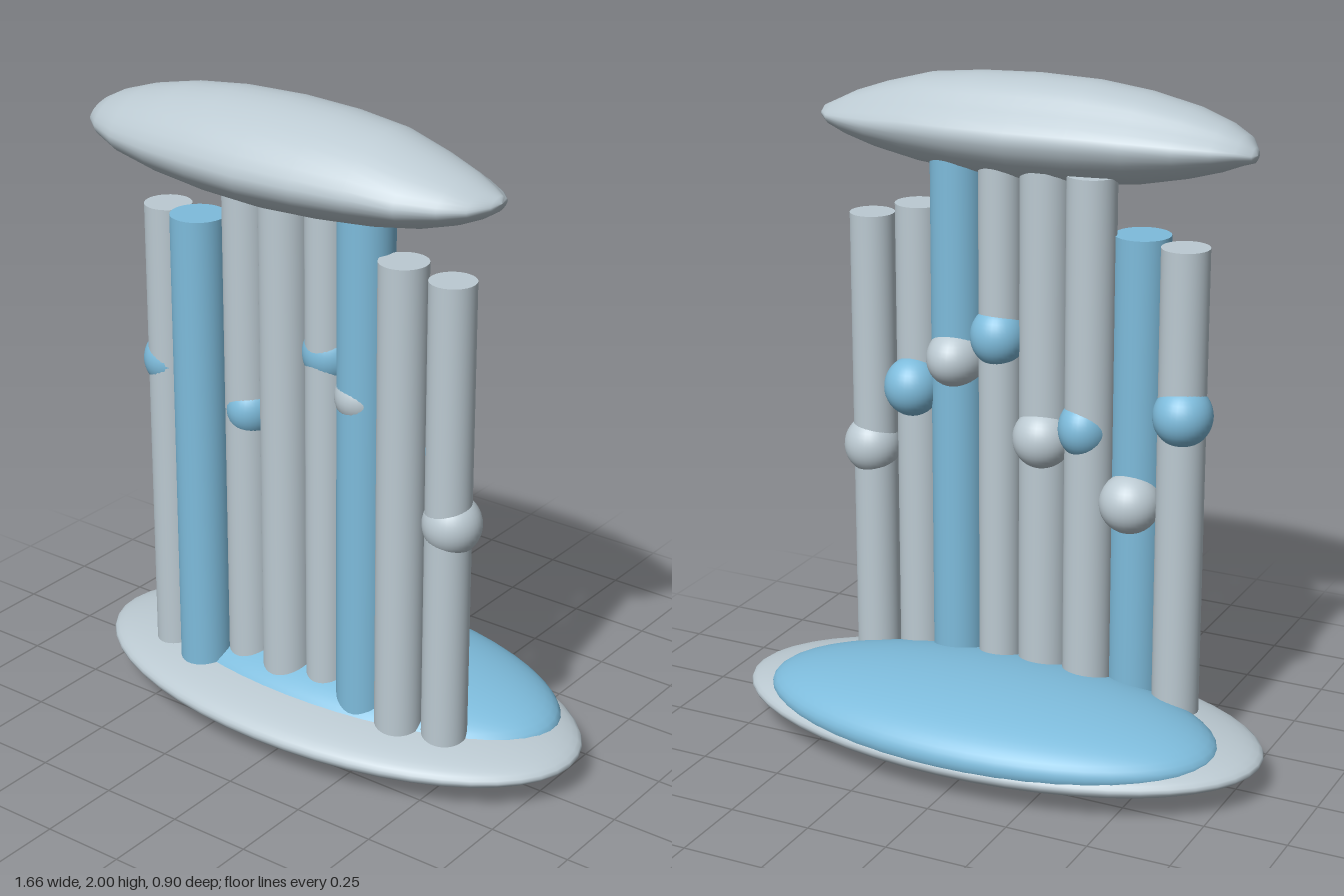
import * as THREE from 'three';

const grey = new THREE.MeshStandardMaterial({ color: 0xbccad2 });
grey.name = 'pale grey';
const blue = new THREE.MeshStandardMaterial({ color: 0x7ebcdc });
blue.name = 'sky blue';

function add(parent, name, geometry, material, x, y, z) {
  const mesh = new THREE.Mesh(geometry, material);
  mesh.name = name;
  mesh.position.set(x, y, z);
  parent.add(mesh);
  return mesh;
}

function ellipsoid(rx, ry, rz, w = 48, h = 32) {
  return new THREE.SphereGeometry(1, w, h).scale(rx, ry, rz);
}

// Pebble-like cap: one closed outline stretched along x
function capstoneGeometry() {
  // Outline in (z, y) from the front over the top to the back
  const outline = [[0.45, 1.84], [0.40, 1.92], [0.30, 1.98], [0.20, 2.0], [0.11, 1.98], [0.05, 1.93],
    [-0.02, 1.86], [-0.005, 1.80], [0.05, 1.745], [0.14, 1.703], [0.23, 1.69], [0.35, 1.73], [0.43, 1.785]];
  const curve = new THREE.CatmullRomCurve3(outline.map(([z, y]) => new THREE.Vector3(0, y, z)), true);
  const n = 40;
  const ring = curve.getPoints(n).slice(0, n)
    .map((p) => [(p.z + 0.025) / 0.475, (p.y - 1.69) / 0.31]);
  // x, bottom, top, back, front
  const stations = [
    [-0.682, 1.833, 1.833, 0.19, 0.19], [-0.675, 1.812, 1.855, 0.155, 0.225],
    [-0.64, 1.80, 1.885, 0.115, 0.29], [-0.58, 1.775, 1.915, 0.08, 0.34],
    [-0.48, 1.745, 1.948, 0.04, 0.39], [-0.34, 1.715, 1.978, 0.01, 0.42],
    [-0.18, 1.697, 1.996, -0.01, 0.44], [0, 1.69, 2.0, -0.025, 0.45],
    [0.18, 1.697, 1.992, -0.02, 0.44], [0.34, 1.712, 1.974, 0.0, 0.42],
    [0.48, 1.737, 1.935, 0.035, 0.39], [0.58, 1.765, 1.90, 0.075, 0.34],
    [0.64, 1.79, 1.87, 0.11, 0.29], [0.675, 1.812, 1.853, 0.15, 0.23],
    [0.684, 1.835, 1.835, 0.19, 0.19]];
  const pos = [];
  const index = [];
  stations.forEach(([x, y0, y1, z0, z1], i) => {
    ring.forEach(([u, v], j) => {
      pos.push(x, y0 + (y1 - y0) * v, z0 + (z1 - z0) * u);
      if (i === stations.length - 1) return;
      const a = i * n + j;
      const c = i * n + (j + 1) % n;
      index.push(a, a + n, c, c, a + n, c + n);
    });
  });
  const g = new THREE.BufferGeometry();
  g.setAttribute('position', new THREE.Float32BufferAttribute(pos, 3));
  g.setIndex(index);
  g.computeVertexNormals();
  return g;
}

export function createModel() {
  const model = new THREE.Group();
  model.name = 'columnSculpture';

  // Two overlapping lens-shaped discs form the base
  add(model, 'baseRim', ellipsoid(0.83, 0.088, 0.42), grey, 0, 0.1, -0.03);
  add(model, 'baseDome', ellipsoid(0.72, 0.13, 0.352), blue, 0, 0.13, -0.1);

  // Row of columns: x, z, radius, top, colour
  const columns = [
    [-0.505, 0.12, 0.07, 1.57, grey], [-0.357, 0.163, 0.082, 1.58, blue],
    [-0.223, 0.107, 0.073, 1.75, grey], [-0.073, 0.125, 0.077, 1.75, grey],
    [0.067, 0.115, 0.065, 1.75, grey], [0.213, 0.133, 0.082, 1.76, blue],
    [0.355, 0.157, 0.071, 1.595, grey], [0.492, 0.122, 0.067, 1.56, grey]];
  const foot = 0.1;
  const columnGroup = new THREE.Group();
  columnGroup.name = 'columns';
  columns.forEach(([x, z, r, top, material]) => {
    const g = new THREE.CylinderGeometry(r, r, top - foot, 32);
    add(columnGroup, 'column', g, material, x, (top + foot) / 2, z);
  });
  model.add(columnGroup);

  // One bead on each column: x, y, z, radius, depth radius, colour
  const beads = [
    [-0.515, 1.08, 0.102, 0.087, 0.092, blue], [-0.357, 0.79, 0.1, 0.091, 0.091, grey],
    [-0.212, 1.0, 0.1, 0.077, 0.09, blue], [-0.08, 0.95, 0.09, 0.088, 0.088, grey],
    [0.068, 1.24, 0.1, 0.083, 0.083, blue], [0.207, 1.155, 0.111, 0.088, 0.111, grey],
    [0.352, 1.045, 0.1, 0.085, 0.088, blue], [0.5, 0.835, 0.114, 0.086, 0.086, grey]];
  const beadGroup = new THREE.Group();
  beadGroup.name = 'beads';
  beads.forEach(([x, y, z, r, rz, material]) => {
    add(beadGroup, 'bead', ellipsoid(r, 0.09, rz, 32, 20), material, x, y, z);
  });
  model.add(beadGroup);

  // Cap resting on the middle columns
  add(model, 'capstone', capstoneGeometry(), grey, 0, 0, 0);
  return model;
}
